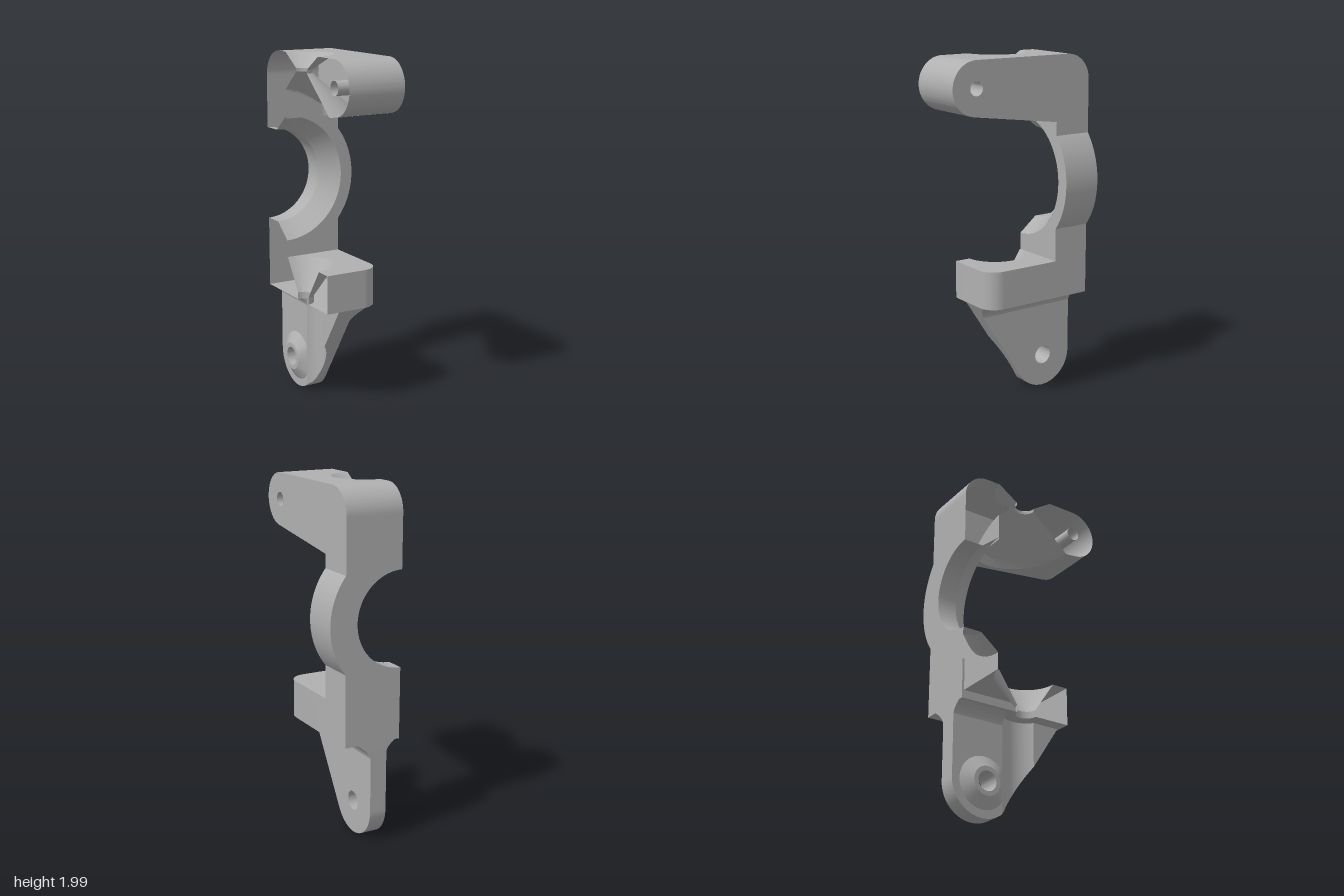
import * as THREE from 'three';
import { toCreasedNormals } from 'three/addons/utils/BufferGeometryUtils.js';

const CUT = -0.22, SIDE = 0.12, BACK = -0.455, FRONT = -0.23; // main planes
const RING_Y = 1.28, RING_R = 0.433, BORE_Z = -0.045;
const RIB_L = -0.04, RIB_R = -0.14, EYE_Y = 0.195, EYE_Z = -0.265, EYE_R = 0.19;
const PI = Math.PI, RING_A = Math.acos((SIDE - CUT) / RING_R);
const GROOVE_R = 0.13, GROOVE_A = Math.acos((RIB_R - CUT) / GROOVE_R);
const GROOVE_Z = BORE_Z - GROOVE_R * Math.sin(GROOVE_A); // rear edge of the groove

// Ways of placing flat (a, b) coordinates at offset t
const onSide = (z, y, x) => [x, y, z];
const onFace = (x, y, z) => [x, y, z];
const onPlan = (x, z, y) => [x, y, z];

// Sloping underside of the upper arm, lower edge and grooved face of the rib
const underArm = z => 1.701 + (z - 0.325) * 0.1346;
const underRib = z => z > -0.105 ? 0.6 - (0.22 - z) / 0.641
  : EYE_Y - Math.sqrt(EYE_R ** 2 - (z - EYE_Z) ** 2);
const ribFace = z =>
  Math.max(RIB_R, CUT + Math.sqrt(Math.max(0, GROOVE_R ** 2 - (z - BORE_Z) ** 2)));

export function createModel() {
  const group = new THREE.Group();
  const metal = new THREE.MeshStandardMaterial({ color: 0xb0b0b0 });
  metal.name = 'cast grey';
  metal.side = THREE.DoubleSide;

  const add = (name, geo, crease = 0.5) => {
    const mesh = new THREE.Mesh(toCreasedNormals(geo, crease), metal);
    mesh.name = name;
    group.add(mesh);
  };
  // Flat face from a shape; t may be a function of the second coordinate
  const panel = (name, shape, place, t) => {
    const geo = new THREE.ShapeGeometry(shape, 32), p = geo.attributes.position;
    for (let i = 0; i < p.count; i++) {
      const a = p.getX(i), b = p.getY(i);
      p.setXYZ(i, ...place(a, b, typeof t === 'function' ? t(b) : t));
    }
    geo.computeVertexNormals();
    add(name, geo);
  };
  // Wall swept along an open path; the first offset may depend on the path point
  const wall = (name, path, place, t0, t1) => {
    const pos = [], idx = [];
    path.getPoints(24).forEach((q, i) => {
      pos.push(...place(q.x, q.y, typeof t0 === 'function' ? t0(q) : t0), ...place(q.x, q.y, t1));
      if (i) idx.push(2 * i - 2, 2 * i - 1, 2 * i, 2 * i, 2 * i - 1, 2 * i + 1);
    });
    const geo = new THREE.BufferGeometry();
    geo.setAttribute('position', new THREE.Float32BufferAttribute(pos, 3));
    geo.setIndex(idx);
    geo.computeVertexNormals();
    add(name, geo);
  };
  const lathe = (pts, length) =>
    new THREE.LatheGeometry(pts.map(p => new THREE.Vector2(...p)), 48, 0, length);
  const hole = (shape, z, y, r) => shape.holes.push(new THREE.Path().absarc(z, y, r, 0, 2 * PI, false));

  // Plan outline with a round notch on the cut plane, clipped at z0
  const notchedPlan = (z0, z1, r, corner) => {
    const s = new THREE.Shape(), a = -Math.asin(Math.min(1, (BORE_Z - z0) / r));
    s.moveTo(CUT + r * Math.cos(a), z0);
    s.lineTo(SIDE, z0);
    if (corner) s.absarc(SIDE - corner, z1 - corner, corner, 0, PI / 2, false);
    else s.lineTo(SIDE, z1);
    s.lineTo(CUT, z1);
    s.absarc(CUT, BORE_Z, r, PI / 2, a, true);
    return s;
  };

  // Upper arm
  const armSide = new THREE.Shape();
  armSide.moveTo(BACK, 1.6);
  armSide.lineTo(BACK, 1.85);
  armSide.absarc(-0.305, 1.85, 0.15, PI, PI / 2, true);
  armSide.absarc(0.305, 1.85, 0.15, PI / 2, -1.437, true);
  armSide.lineTo(FRONT, underArm(FRONT));
  armSide.lineTo(FRONT, 1.6);
  hole(armSide, 0.305, 1.85, 0.04);
  panel('armSide', armSide, onSide, SIDE);
  panel('armTop', notchedPlan(-0.305, 0.305, 0.18), onPlan, 2);
  panel('armUnderside', notchedPlan(FRONT, 0.325, 0.31), onPlan, underArm);
  wall('armNose', new THREE.Path().absarc(0.305, 1.85, 0.15, PI / 2, -1.437, true), onSide, CUT, SIDE);
  wall('armBackCorner', new THREE.Path().absarc(-0.305, 1.85, 0.15, PI, PI / 2, true), onSide, CUT, SIDE);

  // Countersink on top of the arm
  const armBore = lathe([[0.18, 2], [0.06, 1.92], [0.06, 1.9]], PI);
  armBore.translate(CUT, 0, BORE_Z);
  add('armBore', armBore);

  // Wide conical pocket under the arm, stopped by the upright plate
  const cone = [];
  for (let i = 0; i <= 16; i++) cone.push([0.06 + 0.25 * i / 16, 1.9 - 0.22 * i / 16]);
  const pocket = lathe(cone, PI);
  pocket.translate(CUT, 0, BORE_Z);
  const pp = pocket.attributes.position;
  for (let i = 0; i < pp.count; i++) {
    const z = Math.max(pp.getZ(i), FRONT);
    pp.setZ(i, z);
    if (i % 17 === 16) pp.setY(i, underArm(z));
  }
  add('armPocket', pocket);

  // Pin tube across the arm nose
  const tube = new THREE.CylinderGeometry(0.04, 0.04, SIDE - CUT, 24, 1, true);
  tube.rotateZ(PI / 2).translate((SIDE + CUT) / 2, 1.85, 0.305);
  add('pinTube', tube);

  // Upright plate with its half ring
  const plate = (y0, y1, r) => {
    const s = new THREE.Shape(), a = Math.asin(Math.min(1, (y1 - RING_Y) / r));
    s.moveTo(CUT, y0);
    s.lineTo(SIDE, y0);
    s.absarc(CUT, RING_Y, RING_R, -RING_A, RING_A, false);
    s.lineTo(SIDE, y1);
    s.lineTo(CUT + r * Math.cos(a), y1);
    s.absarc(CUT, RING_Y, r, a, -PI / 2, true);
    return s;
  };
  panel('plateBack', plate(0.6, 1.85, 0.27), onFace, BACK);
  panel('plateFront', plate(0.82, underArm(FRONT), 0.36), onFace, FRONT);
  const edge = new THREE.Path();
  edge.moveTo(SIDE, 0.6);
  edge.lineTo(SIDE, 1);
  edge.absarc(CUT, RING_Y, RING_R, -RING_A, RING_A, false);
  edge.lineTo(SIDE, 1.6);
  wall('plateEdge', edge, onFace, BACK, FRONT);
  const ringBore = lathe([[0.27, BACK], [0.27, -0.34], [0.36, FRONT]], PI);
  ringBore.rotateX(PI / 2).translate(CUT, RING_Y, 0);
  add('ringBore', ringBore);

  // Lower shelf
  panel('shelfTop', notchedPlan(FRONT, 0.23, 0.18, 0.1), onPlan, 0.82);
  panel('shelfUnderside', notchedPlan(BACK, 0.23, 0.06, 0.1), onPlan, 0.6);
  const shelfEdge = new THREE.Path();
  shelfEdge.moveTo(SIDE, FRONT);
  shelfEdge.lineTo(SIDE, 0.13);
  shelfEdge.absarc(SIDE - 0.1, 0.13, 0.1, 0, PI / 2, false);
  shelfEdge.lineTo(CUT, 0.23);
  wall('shelfEdge', shelfEdge, onPlan, 0.6, 0.82);
  const shelfBore = lathe([[0.18, 0.82], [0.06, 0.64], [0.06, 0.6]], PI);
  shelfBore.translate(CUT, 0, BORE_Z);
  add('shelfBore', shelfBore);

  // Hanging rib: outer face, grooved inner face and rim
  const ribOuter = new THREE.Shape();
  ribOuter.moveTo(BACK, 0.6);
  ribOuter.lineTo(0.22, 0.6);
  ribOuter.absarc(EYE_Z, EYE_Y, EYE_R, -0.569, -PI, true);
  hole(ribOuter, EYE_Z, EYE_Y, 0.055);
  panel('ribOuterFace', ribOuter, onSide, RIB_L);
  const ribInner = new THREE.Shape();
  ribInner.moveTo(BACK, 0.6);
  ribInner.lineTo(GROOVE_Z, 0.6);
  ribInner.absarc(EYE_Z, EYE_Y, EYE_R, -Math.acos((GROOVE_Z - EYE_Z) / EYE_R), -PI, true);
  hole(ribInner, EYE_Z, EYE_Y, 0.055);
  panel('ribInnerFace', ribInner, onSide, RIB_R);
  const groove = new THREE.Path();
  groove.absarc(CUT, BORE_Z, GROOVE_R, -GROOVE_A, GROOVE_A, false);
  groove.lineTo(RIB_R, 0.22);
  wall('ribGroove', groove, onPlan, q => underRib(q.y), 0.6);
  const rim = new THREE.Path();
  rim.moveTo(0.22, 0.6);
  for (let i = 1; i <= 40; i++) {
    const z = 0.22 - 0.325 * i / 40;
    rim.lineTo(z, underRib(z));
  }
  rim.absarc(EYE_Z, EYE_Y, EYE_R, -0.569, -PI, true);
  rim.lineTo(BACK, 0.6);
  wall('ribRim', rim, onSide, q => ribFace(q.x), RIB_L);

  // Fillets joining the rib to the shelf, trimmed to the slanted rib front
  const fillet = (name, x, reach, low, length) => {
    const s = new THREE.Shape();
    s.moveTo(x, low);
    s.quadraticCurveTo(x + reach * 0.15, low + (0.6 - low) * 0.5, x + reach, 0.6);
    s.lineTo(x, 0.6);
    const geo = new THREE.ExtrudeGeometry(s, { depth: length, bevelEnabled: false, curveSegments: 8 });
    geo.translate(0, 0, BACK);
    const p = geo.attributes.position;
    for (let i = 0; i < p.count; i++)
      p.setZ(i, Math.min(p.getZ(i), 0.22 - (0.6 - p.getY(i)) * 0.641));
    geo.computeVertexNormals();
    add(name, geo);
  };
  fillet('ribFilletLeft', RIB_L, 0.085, 0.51, 0.675);
  fillet('ribFilletRight', RIB_R, -0.053, 0.54, GROOVE_Z - BACK);

  // Conical boss around the eyelet, trimmed by the groove
  const boss = lathe([[0.145, 0.14], [0.08, 0.18], [0.055, 0.18], [0.055, -RIB_L]], 2 * PI);
  boss.rotateZ(PI / 2).translate(0, EYE_Y, EYE_Z);
  const bp = boss.attributes.position;
  for (let i = 0; i < bp.count; i++) bp.setZ(i, Math.min(bp.getZ(i), GROOVE_Z));
  add('eyeletBoss', boss);

  return group;
}
